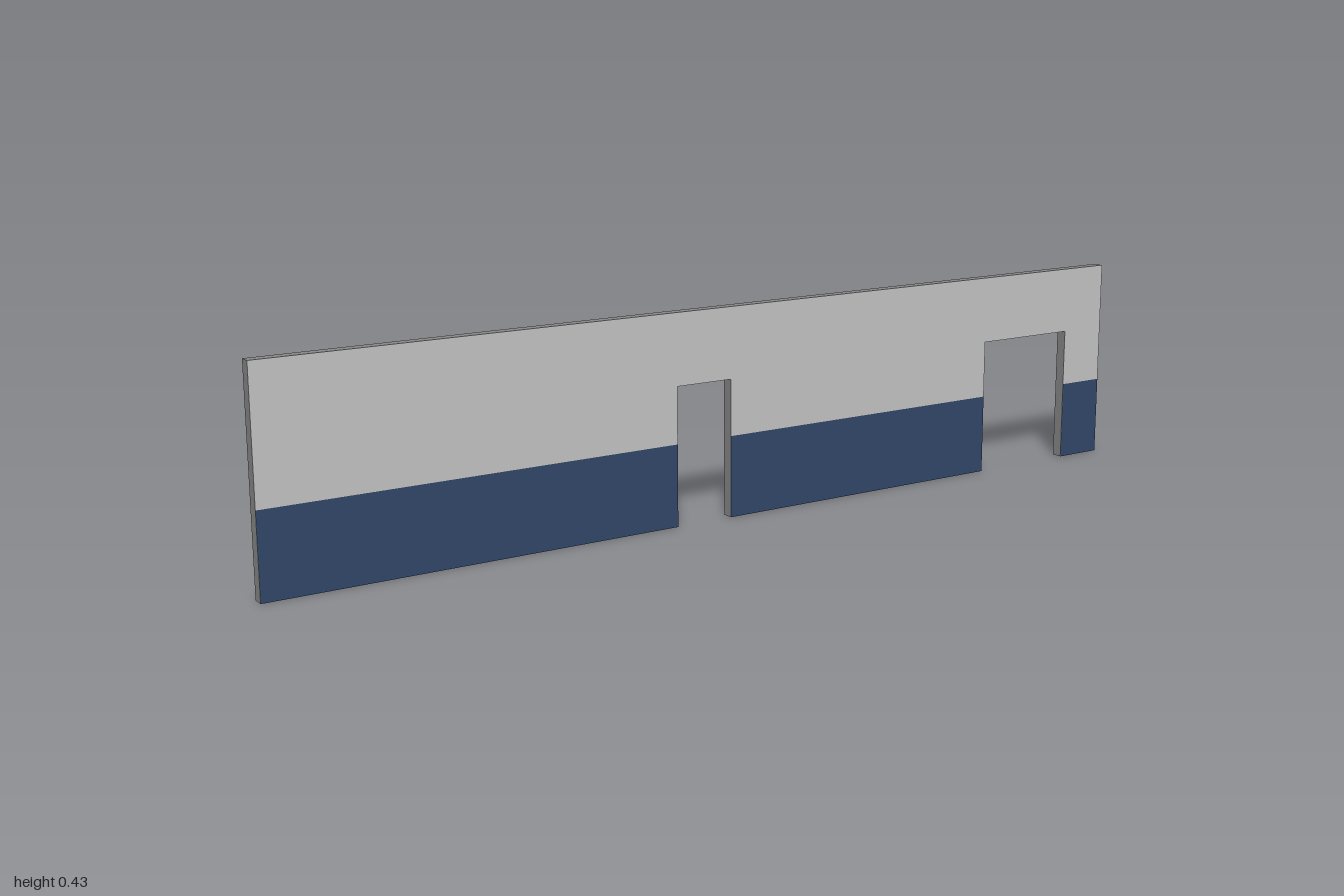
import * as THREE from 'three';

const HEIGHT = 0.43, DEPTH = 0.024, BAND = 0.168;
// door openings: left edge, right edge, top
const DOORS = [[-0.14, -0.014, 0.284], [0.655, 0.893, 0.289]];

function material(name, color) {
  const m = new THREE.MeshStandardMaterial({ color });
  m.name = name;
  return m;
}

// Wall outline standing on the given base height, notched by the doors
function wallShape(base) {
  const shape = new THREE.Shape();
  shape.moveTo(-1, base);
  for (const [x0, x1, top] of DOORS) {
    shape.lineTo(x0, base);
    shape.lineTo(x0, top);
    shape.lineTo(x1, top);
    shape.lineTo(x1, base);
  }
  shape.lineTo(1, base);
  shape.lineTo(1, HEIGHT);
  shape.lineTo(-1, HEIGHT);
  shape.closePath();
  return shape;
}

export function createModel() {
  const group = new THREE.Group();
  group.name = 'wallWithDoorways';
  const core = material('wall grey', 0x888888);
  const paint = material('light grey paint', 0xc9c9c9);
  const blue = material('navy paint', 0x34496b);

  const add = (name, geometry, mat, z) => {
    const mesh = new THREE.Mesh(geometry, mat);
    mesh.name = name;
    mesh.position.z = z;
    group.add(mesh);
    return mesh;
  };

  // Solid wall
  const skin = 0.0006;
  add('wall', new THREE.ExtrudeGeometry(wallShape(0), { depth: DEPTH - skin, bevelEnabled: false }), core, -DEPTH / 2);

  // Painted front: light upper area
  add('upperPaint', new THREE.ShapeGeometry(wallShape(BAND)), paint, DEPTH / 2);

  // Painted front: navy band between the doors
  const edges = [-1, ...DOORS.flatMap(([x0, x1]) => [x0, x1]), 1];
  for (let i = 0; i < edges.length; i += 2) {
    const width = edges[i + 1] - edges[i];
    const panel = add(`lowerBand${i / 2 + 1}`, new THREE.PlaneGeometry(width, BAND), blue, DEPTH / 2);
    panel.position.x = edges[i] + width / 2;
    panel.position.y = BAND / 2;
  }

  return group;
}
